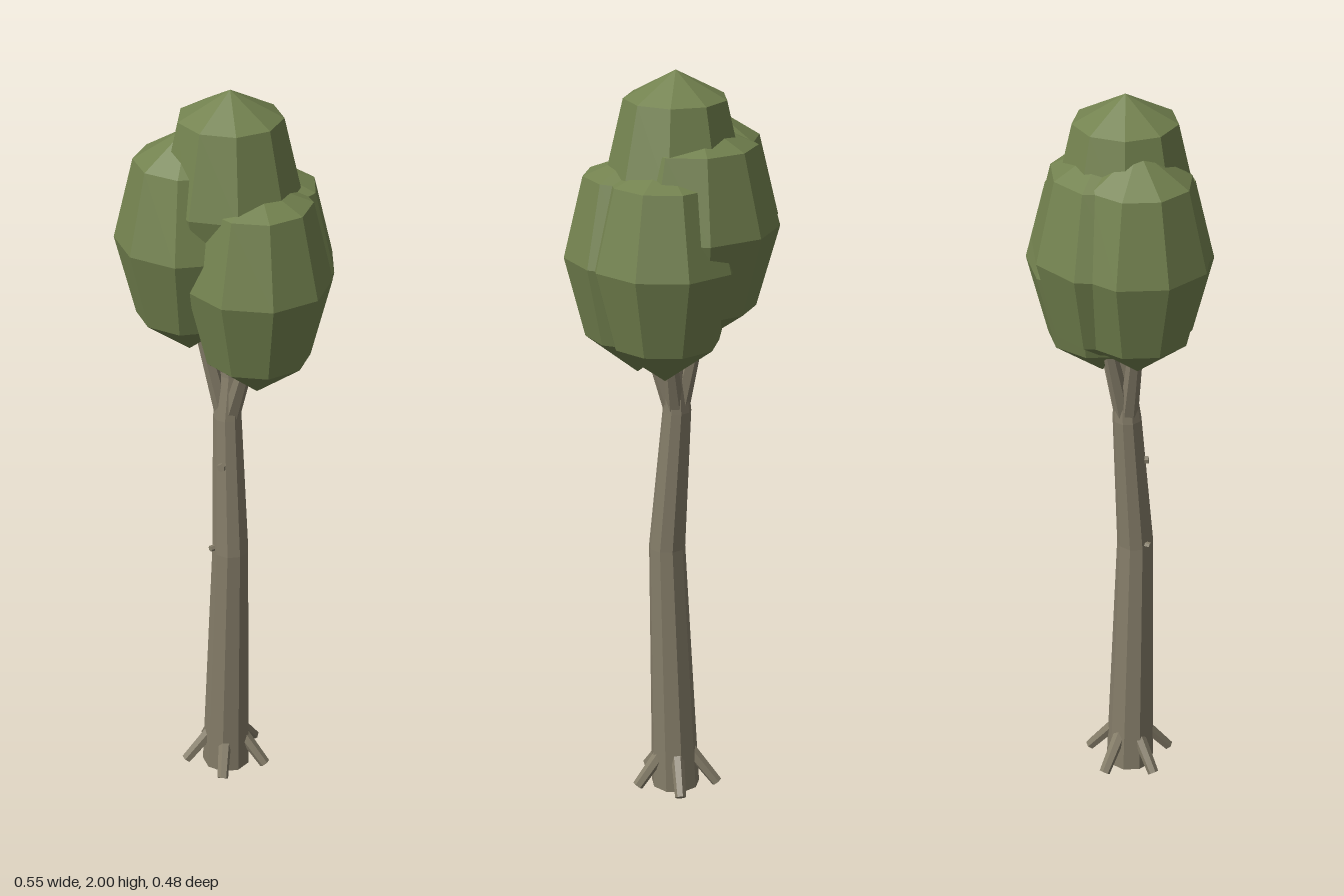
import * as THREE from 'three';

const leaf = new THREE.MeshStandardMaterial({ color: 0x73824f, flatShading: true });
leaf.name = 'leaf green';
const bark = new THREE.MeshStandardMaterial({ color: 0x857d69, flatShading: true });
bark.name = 'bark';

const rad = THREE.MathUtils.degToRad;

function add(parent, name, geometry, material) {
  const mesh = new THREE.Mesh(geometry, material);
  mesh.name = name;
  parent.add(mesh);
  return mesh;
}

// Tapered tube through stations [x, y, z, radius], listed from bottom to top
function limb(stations, sides, turn = 0) {
  const n = stations.length - 1;
  const geo = new THREE.CylinderGeometry(1, 1, 1, sides, n, false, turn);
  const p = geo.attributes.position;
  for (let i = 0; i < p.count; i++) {
    const [x, y, z, r] = stations[Math.round((p.getY(i) + 0.5) * n)];
    p.setXYZ(i, x + p.getX(i) * r, y, z + p.getZ(i) * r);
  }
  geo.computeVertexNormals();
  return geo;
}

// Straight round stick between two points
function stick(a, b, ra, rb, sides = 6) {
  const from = new THREE.Vector3(...a), to = new THREE.Vector3(...b);
  const dir = to.clone().sub(from);
  const geo = new THREE.CylinderGeometry(rb, ra, dir.length(), sides);
  geo.applyQuaternion(new THREE.Quaternion().setFromUnitVectors(new THREE.Vector3(0, 1, 0), dir.normalize()));
  const mid = from.add(to).multiplyScalar(0.5);
  return geo.translate(mid.x, mid.y, mid.z);
}

// Nine-sided leaf clump; angle points one corner, measured from +x towards +z
function clump(r, angle, top, bottom) {
  const profile = [[0, -bottom], [r * 0.72, -0.21], [r, 0], [r * 0.73, 0.21], [0, top]];
  return new THREE.LatheGeometry(profile.map(([x, y]) => new THREE.Vector2(x, y)), 9, rad(90 - angle));
}

export function createModel() {
  const tree = new THREE.Group();
  tree.name = 'tree';

  // Gently bent trunk
  add(tree, 'trunk', limb([
    [0, 0.005, 0.025, 0.066],
    [0.018, 0.71, 0.038, 0.049],
    [0, 1.1, 0.015, 0.038],
    [0.005, 1.22, 0.008, 0.027],
    [0, 1.45, 0, 0.02],
  ], 9, 0.2), bark);

  // Branches reaching into the crown
  const branches = [
    [-0.08, 1.42, 0.04], [0.08, 1.34, 0.05], [0.06, 1.34, -0.05], [-0.05, 1.42, -0.05],
  ];
  for (const tip of branches) add(tree, 'branch', stick([0, 1.07, 0.015], tip, 0.026, 0.015), bark);

  // Roots spread around the base
  for (let i = 0; i < 5; i++) {
    const a = rad(2 + i * 72), c = Math.cos(a), s = Math.sin(a);
    add(tree, 'root', stick([0.115 * c, 0.018, 0.022 + 0.115 * s], [0.04 * c, 0.11, 0.022 + 0.04 * s], 0.015, 0.018), bark);
  }

  // Snapped twigs on the trunk
  add(tree, 'twig', stick([0.005, 0.97, 0.025], [0.003, 0.972, 0.072], 0.014, 0.011), bark);
  add(tree, 'twig', stick([0, 0.72, 0.04], [-0.025, 0.722, 0.077], 0.01, 0.008), bark);

  // Leaf clumps: name, centre, radius, corner angle, top, bottom, width stretch
  const clumps = [
    ['frontLeftLeaves', [0.095, 1.525, 0.052], 0.187, 57, 0.265, 0.315, 1],
    ['frontRightLeaves', [-0.095, 1.605, 0.038], 0.187, 118, 0.295, 0.315, 1],
    ['backRightLeaves', [-0.03, 1.605, -0.04], 0.19, 245, 0.28, 0.31, 1.13],
    ['backLeftLeaves', [0.065, 1.525, -0.048], 0.194, -42, 0.265, 0.315, 1],
    ['topLeaves', [0.005, 1.72, 0.01], 0.181, 22, 0.28, 0.3, 1],
  ];
  for (const [name, centre, r, angle, top, bottom, stretch] of clumps) {
    const mesh = add(tree, name, clump(r, angle, top, bottom), leaf);
    mesh.position.set(...centre);
    mesh.scale.x = stretch;
  }
  return tree;
}
